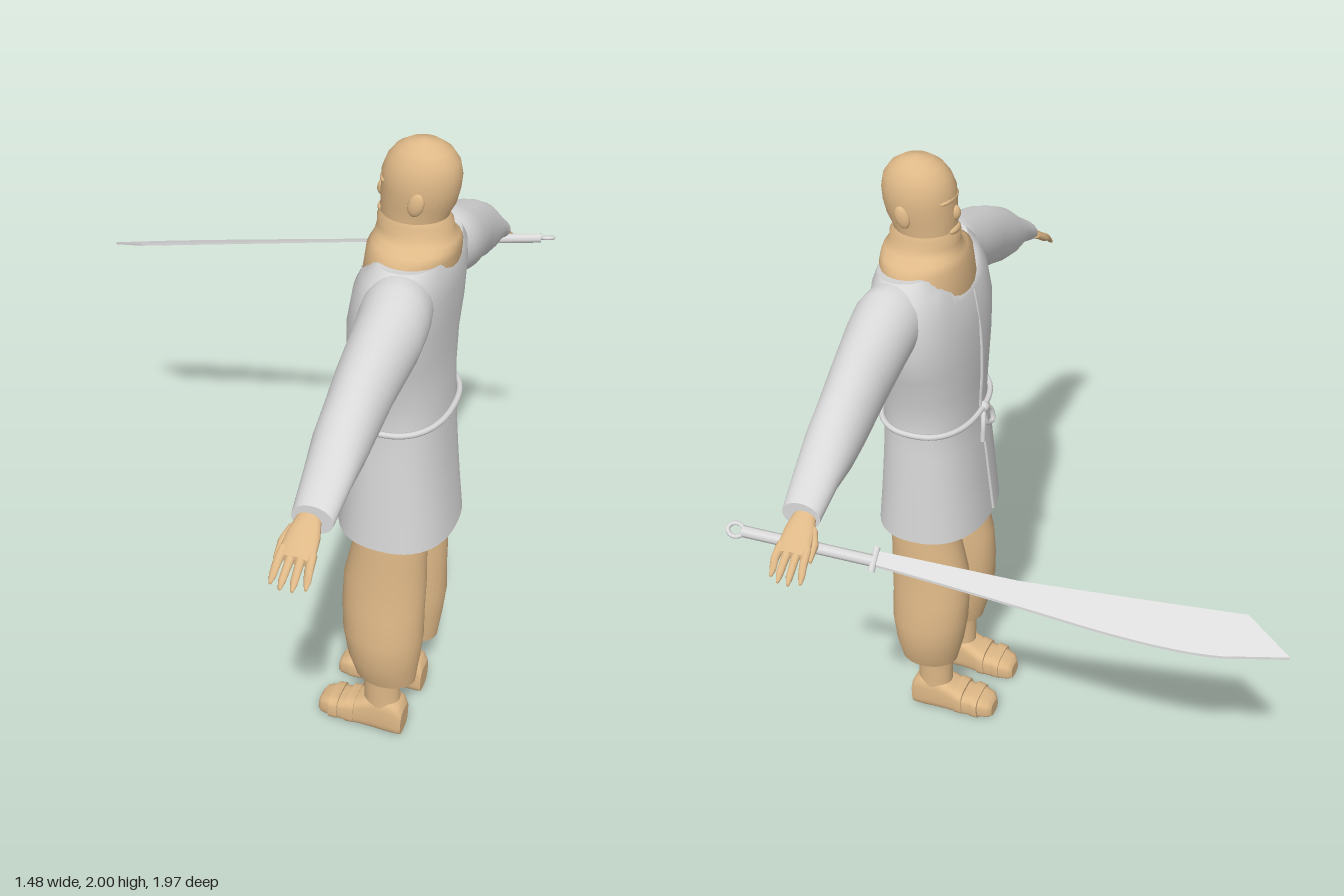
import * as THREE from 'three';

const tan = new THREE.MeshStandardMaterial({ name: 'tan', color: 0xdeb887 });
const cloth = new THREE.MeshStandardMaterial({ name: 'light grey cloth', color: 0xd8d8d8 });
const steel = new THREE.MeshStandardMaterial({ name: 'steel', color: 0xdcdcdc });
const V = (x, y, z) => new THREE.Vector3(x, y, z);

// Skin a row of rounded rings [cx, cy, cz, radiusU, radiusV] lying across the given axis, capped at both ends
function loft(axis, rings, { e = 1, n = 28, rule } = {}) {
  const [u, v] = { x: [2, 1], y: [0, 2], z: [0, 1] }[axis];
  const pos = [], idx = [];
  const soft = (t) => Math.sign(t) * Math.abs(t) ** e;
  const addRing = (r) => {
    for (let i = 0; i < n; i++) {
      const a = (i / n) * Math.PI * 2, p = [r[0], r[1], r[2]];
      p[u] += r[3] * soft(Math.cos(a));
      p[v] += r[4] * soft(Math.sin(a));
      if (rule) rule(p, a);
      pos.push(...p);
    }
  };
  rings.forEach(addRing);
  for (let k = 0; k < rings.length - 1; k++) for (let i = 0; i < n; i++) {
    const a = k * n + i, b = k * n + (i + 1) % n;
    idx.push(a, b, a + n, b, b + n, a + n);
  }
  [rings[0], rings[rings.length - 1]].forEach((r, end) => {
    const s = pos.length / 3;
    addRing(r);
    for (let i = 1; i < n - 1; i++) idx.push(s, ...(end ? [s + i, s + i + 1] : [s + i + 1, s + i]));
  });
  // turn the faces outward whichever way the rings run
  const at = (i) => V(pos[i * 3], pos[i * 3 + 1], pos[i * 3 + 2]);
  let volume = 0;
  for (let i = 0; i < idx.length; i += 3) volume += at(idx[i]).dot(at(idx[i + 1]).cross(at(idx[i + 2])));
  if (volume < 0) idx.reverse();
  const g = new THREE.BufferGeometry();
  g.setAttribute('position', new THREE.Float32BufferAttribute(pos, 3));
  g.setIndex(idx);
  g.computeVertexNormals();
  return g;
}

function tube(points, r, closed = false, segs = 24) {
  return new THREE.TubeGeometry(new THREE.CatmullRomCurve3(points, closed), segs, r, 8, closed);
}

export function createModel() {
  const model = new THREE.Group();
  const add = (name, geo, mat, parent = model) => {
    const m = new THREE.Mesh(geo, mat);
    m.name = name;
    parent.add(m);
    return m;
  };
  const ball = (name, x, y, z, rx, ry, rz, parent) => {
    const m = add(name, new THREE.SphereGeometry(1, 16, 12), tan, parent);
    m.position.set(x, y, z);
    m.scale.set(rx, ry, rz);
    return m;
  };
  // rings standing on the body's middle line: [y, cx, rx, rz]
  const upright = (list, opt) => loft('y', list.map(([y, cx, rx, rz]) => [cx, y, 0, rx, rz]), opt);

  // Head, facing -x
  const head = new THREE.Group();
  head.name = 'head';
  model.add(head);
  add('skull', upright([
    [2.0, .53, .008, .008], [1.993, .53, .045, .04], [1.975, .53, .076, .064], [1.945, .53, .098, .083],
    [1.91, .528, .108, .093], [1.87, .527, .107, .095], [1.83, .523, .103, .089], [1.8, .516, .095, .085],
    [1.76, .515, .09, .082],
  ]), tan, head);
  ball('nose', .425, 1.84, 0, .018, .024, .016, head);
  ball('brow', .445, 1.885, 0, .027, .013, .06, head);
  ball('mouth', .43, 1.79, 0, .017, .014, .034, head);
  for (const s of [1, -1]) {
    ball('ear', .543, 1.85, s * .093, .022, .034, .012, head).rotation.z = -.25;
  }

  // Wrapped neck cloth spreading over the chest
  add('collar', upright([
    [1.795, .516, .09, .08], [1.775, .518, .104, .09], [1.75, .52, .105, .093], [1.73, .526, .115, .108],
    [1.715, .526, .12, .145], [1.695, .521, .126, .175], [1.62, .516, .128, .18], [1.55, .51, .115, .18],
  ]), tan);

  // Tunic with a deep V at the front and a shallow one at the back
  add('tunic', upright([
    [.79, .535, .175, .217], [.9, .53, .164, .213], [1.0, .526, .155, .209], [1.1, .523, .146, .205],
    [1.2, .522, .138, .2], [1.3, .513, .138, .21], [1.4, .508, .138, .242], [1.5, .51, .14, .268],
    [1.6, .517, .134, .262], [1.66, .525, .122, .238], [1.7, .53, .104, .2],
  ], {
    e: .85, n: 48,
    rule: (p, a) => {
      const c = Math.cos(a);
      const drop = c < 0 ? .1 * (-c) ** 5 : .035 * c ** 8;
      p[1] = Math.min(p[1], 1.71 - drop);
    },
  }), cloth);
  // Overlapping front edge
  add('tunicEdge', tube([V(.384, 1.6, .01), V(.37, 1.45, .01), V(.373, 1.3, .01), V(.383, 1.19, .01),
    V(.371, 1.0, .01), V(.36, .8, .015)], .006), cloth);

  // Cord belt, lower at the front, with a knot, a loop and a loose end
  const belt = [];
  for (let i = 0; i < 32; i++) {
    const a = (i / 32) * Math.PI * 2, c = Math.cos(a), s = Math.sin(a);
    belt.push(V(.522 + .147 * Math.sign(c) * Math.abs(c) ** .85, 1.193 + .01 * c,
      .207 * Math.sign(s) * Math.abs(s) ** .85));
  }
  add('belt', tube(belt, .009, true, 80), cloth);
  add('beltLoop', tube([V(.378, 1.18, .02), V(.37, 1.15, .06), V(.365, 1.11, .06), V(.37, 1.12, .025)], .008, true), cloth);
  add('beltEnd', tube([V(.376, 1.18, .02), V(.367, 1.14, -.01), V(.368, 1.08, -.02)], .008), cloth);
  const knot = add('beltKnot', new THREE.SphereGeometry(.018, 12, 8), cloth);
  knot.position.set(.376, 1.18, .02);

  for (const s of [1, -1]) {
    // Sleeve: [z, cy, ry, cx, rx]
    add('sleeve', loft('z', [
      [.14, 1.59, .1, .535, .09], [.2, 1.592, .106, .543, .096], [.25, 1.585, .109, .548, .097],
      [.31, 1.562, .107, .55, .094], [.456, 1.514, .104, .545, .083], [.55, 1.473, .1, .544, .077],
      [.64, 1.438, .087, .544, .073], [.73, 1.4, .055, .546, .064], [.83, 1.347, .04, .546, .055],
    ].map(([z, cy, ry, cx, rx]) => [cx, cy, s * z, rx, ry])), cloth);

    // Hand, palm down, fingers pointing outward
    const hand = new THREE.Group();
    hand.name = 'hand';
    model.add(hand);
    add('palm', loft('z', [
      [.78, 1.37, .024, .03], [.83, 1.342, .023, .033], [.865, 1.32, .022, .044], [.9, 1.298, .017, .047],
      [.92, 1.284, .012, .044],
    ].map(([z, cy, ry, rx]) => [.537, cy, s * z, rx, ry]), { n: 16 }), tan, hand);
    [.97, .983, .98, .962].forEach((tip, i) => {
      const x = .5 + i * .025;
      add('finger', loft('z', [
        [.9, 1.298, .012], [.935, 1.275, .0115], [tip - .015, 1.253, .01], [tip, 1.238, .004],
      ].map(([z, y, r]) => [x + (i - 1.5) * (z - .9) * .07, y, s * z, r, r]), { n: 10 }), tan, hand);
    });
    add('thumb', loft('z', [[.85, 1.325, .505, .014], [.88, 1.3, .49, .013], [.92, 1.275, .485, .005]]
      .map(([z, y, x, r]) => [x, y, s * z, r, r]), { n: 10 }), tan, hand);

    // Baggy trouser leg: [y, cx, rx, cz, rz]
    const leg = (list, opt) => loft('y', list.map(([y, cx, rx, cz, rz]) => [cx, y, s * cz, rx, rz]), opt);
    add('trouserLeg', leg([
      [.235, .557, .095, .117, .07], [.32, .548, .112, .123, .096], [.42, .541, .126, .124, .102],
      [.52, .534, .128, .117, .096], [.62, .533, .127, .112, .093], [.72, .539, .115, .11, .09],
      [.82, .545, .11, .108, .088], [.95, .535, .11, .1, .085],
    ]), tan);
    add('ankle', leg([[.27, .544, .06, .11, .052], [.19, .544, .058, .108, .047], [.1, .55, .058, .107, .048]]), tan);

    // Shoe with a flat sole and two instep straps: [x, top, z, half width]
    const shoe = (list, grow = 0) => loft('x', list.map(([x, top, z, w]) =>
      [x, (top + grow) / 2 + .004, s * z, w + grow, (top + grow) / 2]), { e: .6 });
    add('shoe', shoe([
      [.343, .045, .098, .03], [.355, .064, .099, .046], [.39, .077, .1, .054], [.44, .085, .102, .056],
      [.49, .114, .104, .053], [.53, .135, .106, .051], [.58, .138, .107, .051], [.61, .125, .107, .049],
      [.625, .095, .107, .042],
    ]), tan);
    for (const [x, top] of [[.4, .078], [.455, .092]]) {
      add('shoeStrap', shoe([[x - .014, top - .003, .102, .053], [x, top, .102, .053],
        [x + .014, top + .006, .102, .052]], .007), tan);
    }
  }

  // Sword, lying in one tilted plane
  const sword = new THREE.Group();
  sword.name = 'sword';
  model.add(sword);
  const plane = (x, z) => V(x, 1.52 + .207 * x + .4 * z, z);
  const outline = new THREE.Shape();
  outline.moveTo(.35, -.853);
  outline.quadraticCurveTo(.07, -.826, -.21, -.807);
  outline.quadraticCurveTo(-.46, -.787, -.58, -.75);
  outline.lineTo(-.745, -.69);
  outline.lineTo(-.615, -.622);
  outline.quadraticCurveTo(-.39, -.675, -.03, -.755);
  outline.lineTo(.35, -.816);
  const blade = new THREE.ExtrudeGeometry(outline, { depth: .008, bevelEnabled: false, curveSegments: 10 });
  const p = blade.attributes.position;
  for (let i = 0; i < p.count; i++) {
    const q = plane(p.getX(i), p.getY(i));
    p.setXYZ(i, q.x, q.y + .004 - p.getZ(i), q.z);
  }
  blade.computeVertexNormals();
  add('blade', blade, steel, sword);
  const rod = (name, a, b, r) => add(name, tube([a, a.clone().lerp(b, .5), b], r, false, 4), steel, sword);
  rod('guard', plane(.338, -.872), plane(.348, -.805), .01);
  rod('grip', plane(.345, -.841), plane(.69, -.891), .016);
  const ring = [];
  for (let i = 0; i < 12; i++) {
    const a = (i / 12) * Math.PI * 2;
    ring.push(plane(.708 + .021 * Math.cos(a), -.894 + .018 * Math.sin(a)));
  }
  add('pommelRing', tube(ring, .006, true), steel, sword);

  return model;
}
